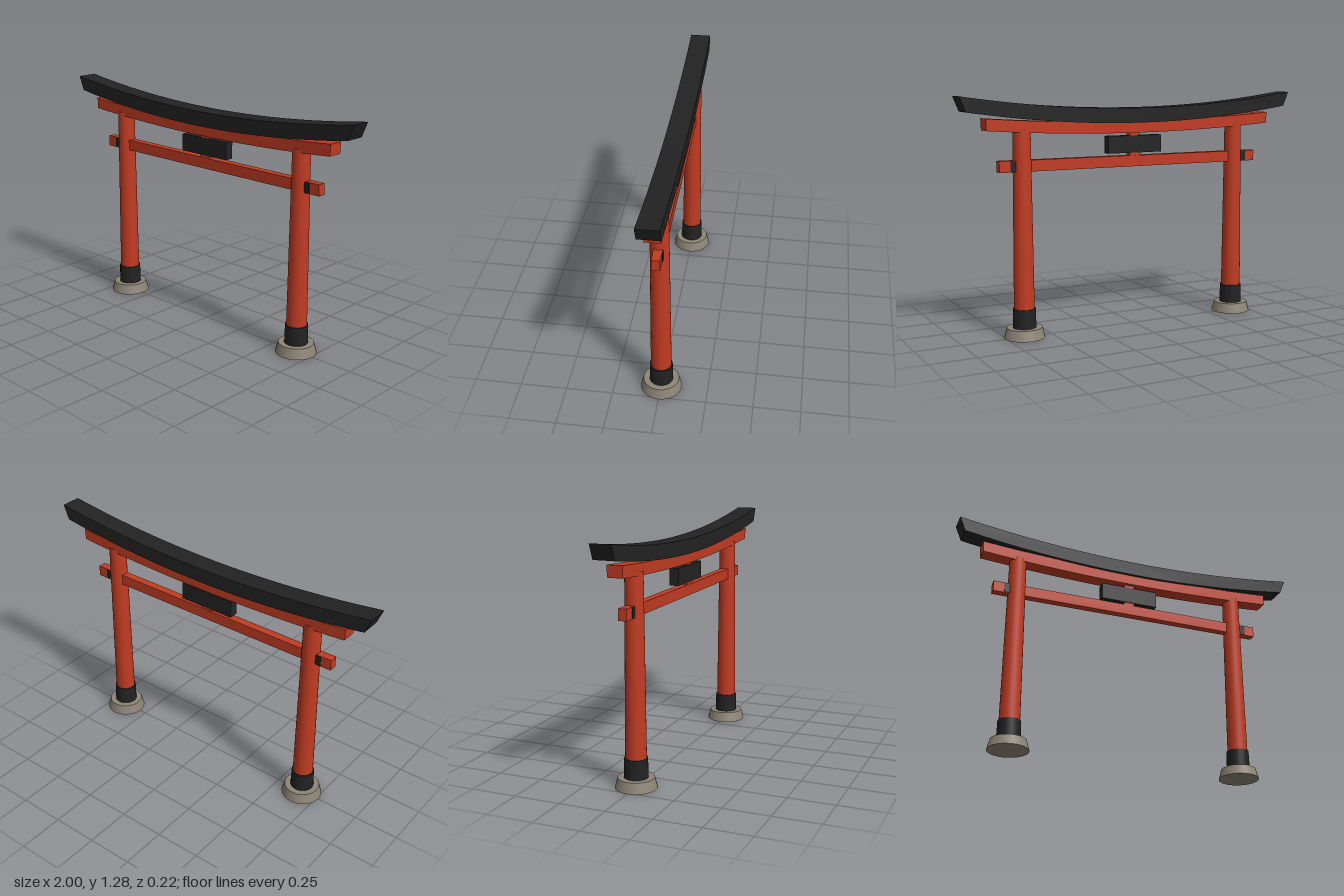
import * as THREE from 'three';

const mat = (name, color) => {
  const m = new THREE.MeshStandardMaterial({ color });
  m.name = name;
  return m;
};

export function createModel() {
  const red = mat('vermilion', 0xc23b22);
  const black = mat('black', 0x222222);
  const stone = mat('stone', 0x8c8476);
  const group = new THREE.Group();

  const add = (name, geometry, material, x = 0, y = 0, z = 0) => {
    const mesh = new THREE.Mesh(geometry, material);
    mesh.name = name;
    mesh.position.set(x, y, z);
    group.add(mesh);
  };

  // Upward-curving beam: parabolic top and bottom edges, extruded in z
  const curvedBeam = (top, bottom, depth, steps = 24) => {
    const edge = (e, t) => [e.half * t, e.mid + e.rise * t * t];
    const shape = new THREE.Shape();
    shape.moveTo(...edge(bottom, -1));
    for (let i = 1; i <= steps; i++) shape.lineTo(...edge(bottom, -1 + (2 * i) / steps));
    for (let i = 0; i <= steps; i++) shape.lineTo(...edge(top, 1 - (2 * i) / steps));
    return new THREE.ExtrudeGeometry(shape, { depth, bevelEnabled: false })
      .translate(0, 0, -depth / 2);
  };

  // Top lintels
  add('roofBeam', curvedBeam(
    { half: 1, mid: 1.205, rise: 0.075 },
    { half: 0.967, mid: 1.125, rise: 0.075 }, 0.114), black);
  add('upperBeam', curvedBeam(
    { half: 0.86, mid: 1.132, rise: 0.033 },
    { half: 0.857, mid: 1.07, rise: 0.033 }, 0.082), red);

  // Tie beam, centre strut and plaque
  add('tieBeam', new THREE.BoxGeometry(1.57, 0.06, 0.044), red, 0, 0.915);
  add('centreStrut', new THREE.BoxGeometry(0.06, 0.15, 0.04), red, 0, 1.01);
  add('plaque', new THREE.BoxGeometry(0.326, 0.094, 0.05), black, 0, 1.007);

  // Posts with stone footings, sleeves and wedges
  for (const s of [1, -1]) {
    const x = 0.652 * s;
    add('footing', new THREE.CylinderGeometry(0.095, 0.11, 0.055, 24), stone, x, 0.0275);
    add('sleeve', new THREE.CylinderGeometry(0.061, 0.063, 0.105, 24), black, x, 0.105);
    add('post', new THREE.CylinderGeometry(0.047, 0.056, 1.053, 24), red, x, 0.5815);
    add('wedge', new THREE.BoxGeometry(0.034, 0.054, 0.049), black, 0.708 * s, 0.915);
  }
  return group;
}
